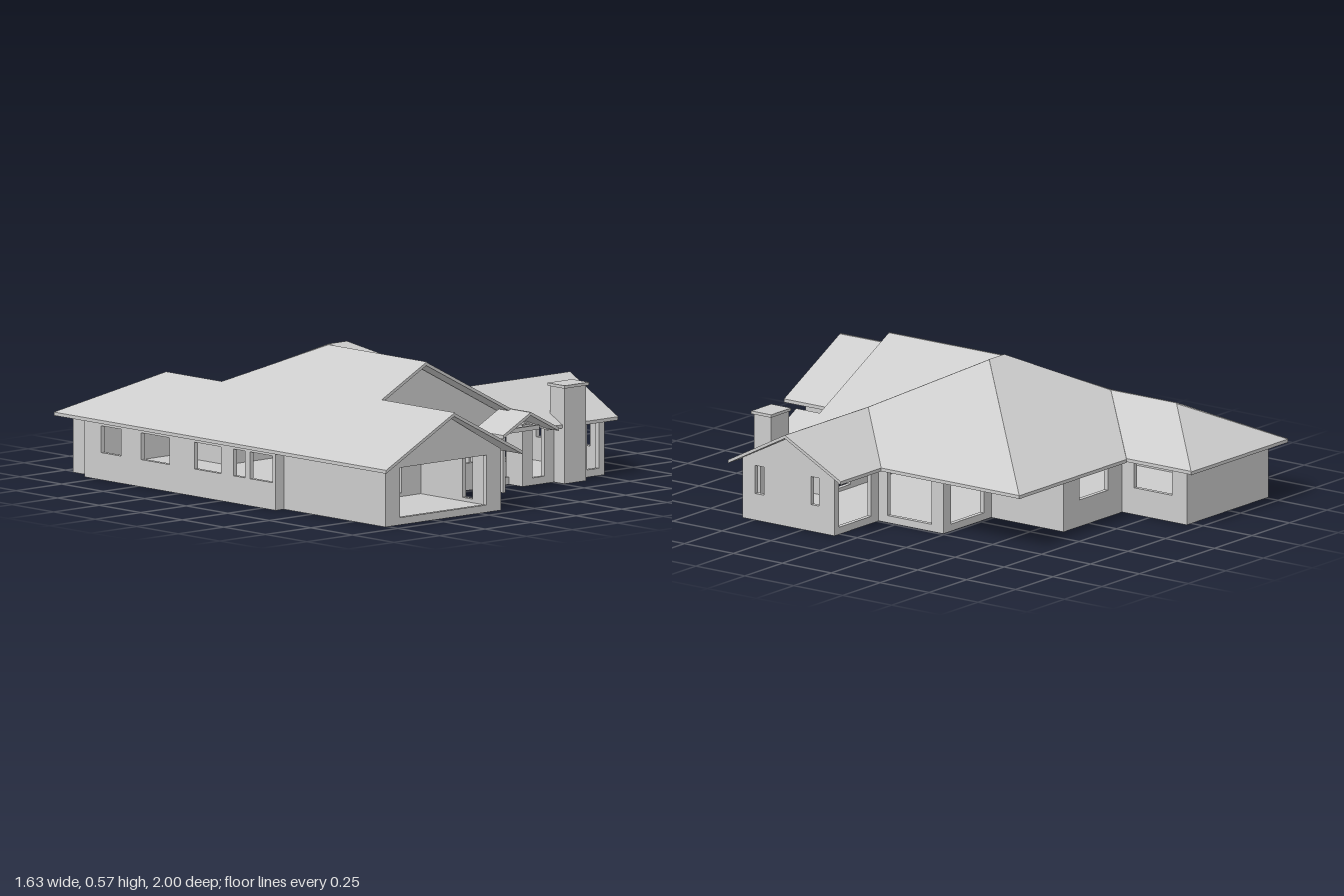
import * as THREE from 'three';

const EAVE = 0.243, PITCH = 0.52, ROOF_T = 0.014, WALL_T = 0.02, WALL_TOP = 0.253;
const material = new THREE.MeshStandardMaterial({ color: 0xcccccc, flatShading: true, side: THREE.DoubleSide });

function polygon(points) {
  return new THREE.Shape(points.map(([x, y]) => new THREE.Vector2(x, y)));
}

function add(group, name, geometry) {
  const mesh = new THREE.Mesh(geometry, material);
  mesh.name = name;
  group.add(mesh);
  return mesh;
}

// Flat slab from a plan outline of [x, z] points
function slab(plan, depth) {
  const shape = polygon(plan.map(([x, z]) => [x, -z]));
  return new THREE.ExtrudeGeometry(shape, { depth, bevelEnabled: false }).rotateX(-Math.PI / 2);
}

// Roof slope: a slab lifted by its distance from the eave line
function slope(group, name, plan, distance) {
  const geometry = slab(plan, ROOF_T);
  const p = geometry.attributes.position;
  for (let i = 0; i < p.count; i++) {
    p.setY(i, p.getY(i) - ROOF_T + EAVE + PITCH * distance(p.getX(i), p.getZ(i)));
  }
  geometry.computeVertexNormals();
  add(group, name, geometry);
}

// Upright wall from plan point a to b, its outside on the right of that path.
// Openings are [from, to, bottom, top] and peaks [position, height], in world units.
function wall(group, name, a, b, openings = [], tops = null) {
  const alongX = a[1] === b[1];
  const start = alongX ? a[0] : a[1], end = alongX ? b[0] : b[1];
  const sign = Math.sign(end - start);
  const u = c => (c - start) * sign;
  const top = tops || [[end, WALL_TOP], [start, WALL_TOP]];
  const shape = polygon([[0, 0], [u(end), 0], ...top.map(([c, y]) => [u(c), y])]);
  for (const [c0, c1, y0, y1] of openings) {
    shape.holes.push(polygon([[u(c0), y0], [u(c0), y1], [u(c1), y1], [u(c1), y0]]));
  }
  const geometry = new THREE.ExtrudeGeometry(shape, { depth: WALL_T, bevelEnabled: false });
  geometry.translate(0, 0, -WALL_T);
  const dir = new THREE.Vector3(alongX ? sign : 0, 0, alongX ? 0 : sign);
  const up = new THREE.Vector3(0, 1, 0);
  const out = new THREE.Vector3().crossVectors(dir, up);
  geometry.applyMatrix4(new THREE.Matrix4().makeBasis(dir, up, out).setPosition(a[0], 0, a[1]));
  add(group, name, geometry);
}

function box(group, name, [x0, x1], [y0, y1], [z0, z1]) {
  const geometry = new THREE.BoxGeometry(x1 - x0, y1 - y0, z1 - z0);
  geometry.translate((x0 + x1) / 2, (y0 + y1) / 2, (z0 + z1) / 2);
  add(group, name, geometry);
}

function buildRoof() {
  const roof = new THREE.Group();
  roof.name = 'roof';
  // Long left slope, shared by the garage, main block and back wing
  slope(roof, 'longSideSlope', [[-0.815, 1], [-0.4375, 1], [-0.4375, 0.56], [-0.19, 0.56], [-0.19, -0.03],
    [-0.49, -0.345], [-0.49, -0.68], [-0.815, -1]], x => x + 0.82);
  // Back wing
  slope(roof, 'backWingHip', [[-0.815, -1], [-0.17, -1], [-0.49, -0.68]], (x, z) => z + 1);
  slope(roof, 'backWingInnerSlope', [[-0.17, -1], [-0.17, -0.67], [-0.49, -0.345], [-0.49, -0.68]],
    x => -0.165 - x);
  // Main hipped block
  slope(roof, 'mainBackSlope', [[-0.17, -0.67], [0.545, -0.67], [-0.09, -0.03], [-0.19, -0.03], [-0.49, -0.345]],
    (x, z) => z + 0.668);
  slope(roof, 'mainEndSlope', [[0.545, -0.67], [0.545, 0.035], [0.26, 0.32], [-0.09, -0.03]], x => 0.545 - x);
  slope(roof, 'mainFrontSlope', [[-0.19, -0.03], [-0.09, -0.03], [0.26, 0.32], [0.815, 0.32],
    [0.815, 0.61], [0.425, 0.61]], (x, z) => 0.607 - z);
  // Side wing, back half
  slope(roof, 'sideWingBackSlope', [[0.545, 0.035], [0.815, 0.035], [0.815, 0.32], [0.26, 0.32]],
    (x, z) => z - 0.035);
  // Front gable and the porch that grows out of it
  slope(roof, 'frontGableSlope', [[-0.19, -0.03], [0.425, 0.61], [0.425, 0.68], [0.27, 0.68], [0.27, 0.56],
    [-0.19, 0.56]], x => 0.435 - x);
  slope(roof, 'porchSlope', [[0.12, 0.5], [0.27, 0.5], [0.27, 0.68], [0.12, 0.68]], x => x - 0.11);
  // Garage
  slope(roof, 'garageInnerSlope', [[-0.4375, 0.47], [-0.065, 0.47], [-0.065, 1], [-0.4375, 1]],
    x => -0.062 - x);
  return roof;
}

function buildWalls() {
  const walls = new THREE.Group();
  walls.name = 'walls';
  const low = 0.03, sill = 0.112, head = 0.23;
  // Garage
  wall(walls, 'garageFront', [-0.765, 0.94], [-0.13, 0.94], [[-0.685, -0.21, low, 0.235]],
    [[-0.13, WALL_TOP], [-0.4375, 0.425], [-0.765, WALL_TOP]]);
  wall(walls, 'garageInnerSide', [-0.13, 0.94], [-0.13, 0.48], [[0.79, 0.73, low, head]]);
  wall(walls, 'garageOuterSide', [-0.765, 0.33], [-0.765, 0.94]);
  // Main front gable wall, which also closes the back of the garage
  wall(walls, 'frontGableWall', [-0.765, 0.48], [0.355, 0.48],
    [[-0.34, -0.255, low, head], [-0.035, 0.14, sill, 0.235], [0.195, 0.335, low, head]],
    [[0.355, 0.265], [-0.19, 0.55], [-0.765, WALL_TOP]]);
  // Side wing
  wall(walls, 'entryReturn', [0.355, 0.56], [0.355, 0.48].map((v, i) => (i ? v : 0.355)));
  wall(walls, 'sideWingFront', [0.355, 0.56], [0.785, 0.56],
    [[0.39, 0.455, low, head], [0.69, 0.755, low, head]]);
  wall(walls, 'sideWingGable', [0.785, 0.56], [0.785, 0.09],
    [[0.495, 0.45, sill, head], [0.21, 0.17, sill, head]],
    [[0.09, WALL_TOP], [0.32, 0.376], [0.56, WALL_TOP]]);
  wall(walls, 'sideWingBack', [0.785, 0.09], [0.49, 0.09], [[0.755, 0.54, low, head]]);
  // Stepped walls around the covered patio
  wall(walls, 'patioSide', [0.49, 0.09], [0.49, -0.24], [[0.045, -0.18, low, head]]);
  wall(walls, 'patioBack', [0.49, -0.24], [0.17, -0.24], [[0.44, 0.22, low, head]]);
  wall(walls, 'innerPatioSide', [0.17, -0.24], [0.17, -0.61]);
  wall(walls, 'mainBack', [0.17, -0.61], [-0.22, -0.61], [[0.065, -0.125, sill, head]]);
  // Back wing
  wall(walls, 'backWingInnerSide', [-0.22, -0.61], [-0.22, -0.94], [[-0.67, -0.865, sill, head]]);
  wall(walls, 'backWingEnd', [-0.22, -0.94], [-0.765, -0.94]);
  wall(walls, 'backWingOuterSide', [-0.765, -0.94], [-0.765, -0.82]);
  // Long side wall, stepped out under the eave
  wall(walls, 'bayBackReturn', [-0.765, -0.82], [-0.81, -0.82], [], [[-0.81, 0.235], [-0.765, WALL_TOP]]);
  const windows = [[-0.72, 0.12], [-0.48, 0.17], [-0.16, 0.16], [0.075, 0.07], [0.175, 0.14]];
  wall(walls, 'longSideWall', [-0.81, -0.82], [-0.81, 0.33],
    windows.map(([z, width]) => [z, z + width, sill, 0.222]), [[0.33, 0.235], [-0.82, 0.235]]);
  wall(walls, 'bayFrontReturn', [-0.81, 0.33], [-0.765, 0.33], [], [[-0.765, WALL_TOP], [-0.81, 0.235]]);
  return walls;
}

export function createModel() {
  const house = new THREE.Group();
  house.name = 'house';
  house.add(buildWalls(), buildRoof());

  // Floor slab following the footprint
  add(house, 'floor', slab([[-0.765, 0.94], [-0.13, 0.94], [-0.13, 0.48], [0.355, 0.48], [0.355, 0.56],
    [0.785, 0.56], [0.785, 0.09], [0.49, 0.09], [0.49, -0.24], [0.17, -0.24], [0.17, -0.61], [-0.22, -0.61],
    [-0.22, -0.94], [-0.765, -0.94], [-0.765, -0.82], [-0.81, -0.82], [-0.81, 0.33], [-0.765, 0.33]], 0.015));

  // Chimney with a thin cap
  box(house, 'chimney', [0.508, 0.628], [0, 0.395], [0.535, 0.622]);
  box(house, 'chimneyCap', [0.502, 0.637], [0.393, 0.405], [0.528, 0.63]);

  // Porch post and beams
  box(house, 'porchPost', [0.17, 0.182], [0, 0.262], [0.612, 0.624]);
  box(house, 'porchSideBeam', [0.17, 0.182], [0.24, 0.258], [0.48, 0.624]);
  box(house, 'porchFrontBeam', [0.17, 0.37], [0.24, 0.258], [0.612, 0.624]);
  return house;
}
